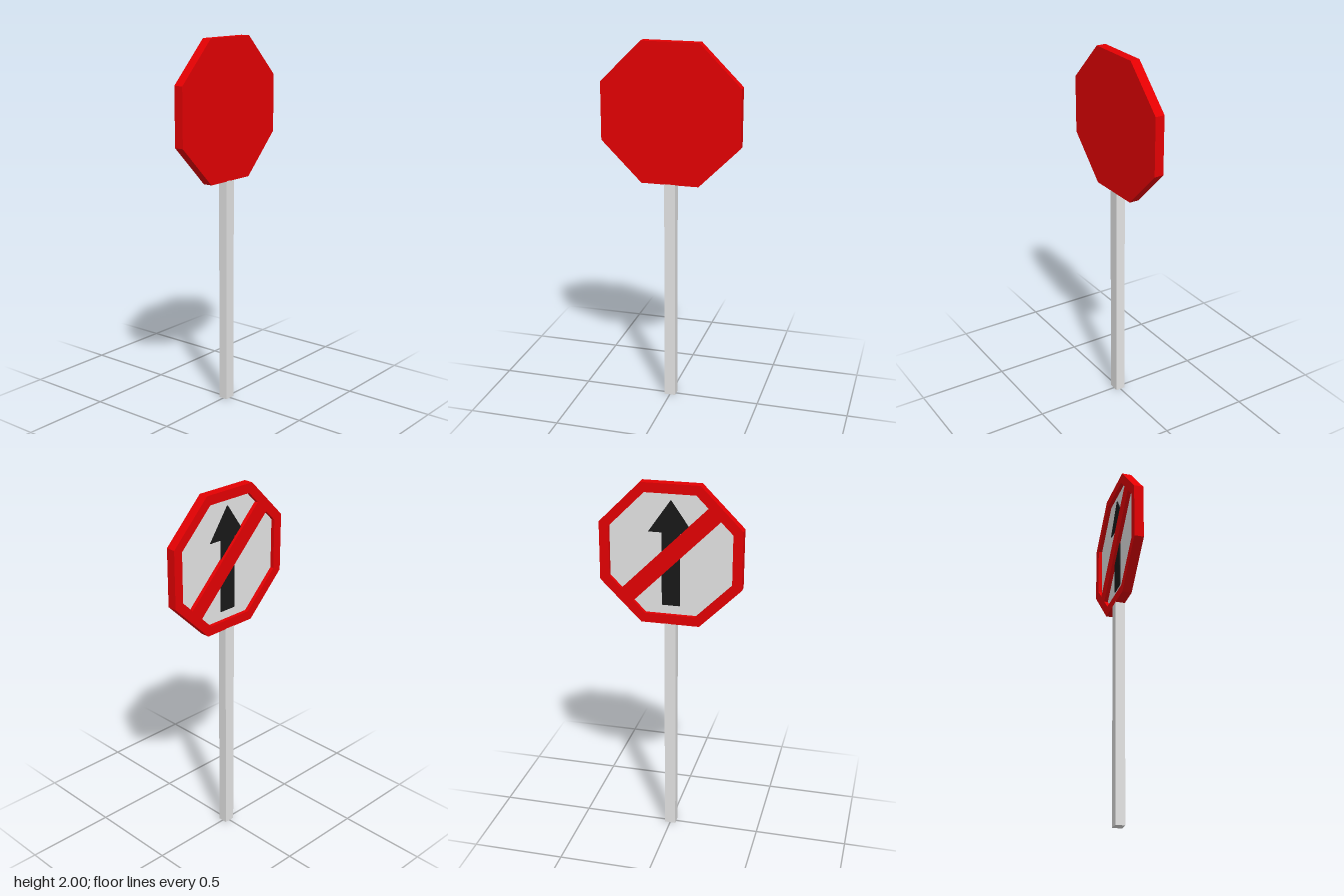
import * as THREE from 'three';

const CENTER_Y = 1.622;   // middle of the sign
const OUTER = 0.378;      // octagon half widths
const INNER = 0.327;
const BACK = -0.026, FLOOR = -0.002, FRONT = 0.026;

// Corners of a flat-topped octagon with the given half width
function octagon(r) {
  const points = [];
  const radius = r / Math.cos(Math.PI / 8);
  for (let i = 0; i < 8; i++) {
    const a = Math.PI / 8 + i * Math.PI / 4;
    points.push(new THREE.Vector2(radius * Math.cos(a), radius * Math.sin(a)));
  }
  return points;
}

// Extrude a shape between two z positions
function slab(name, shape, z0, z1, material) {
  const geometry = new THREE.ExtrudeGeometry(shape, { depth: z1 - z0, bevelEnabled: false });
  const mesh = new THREE.Mesh(geometry, material);
  mesh.name = name;
  mesh.position.z = z0;
  return mesh;
}

export function createModel() {
  const red = new THREE.MeshStandardMaterial({ name: 'signRed', color: 0xe40002 });
  const grey = new THREE.MeshStandardMaterial({ name: 'lightGrey', color: 0xe4e4e4 });
  const black = new THREE.MeshStandardMaterial({ name: 'arrowBlack', color: 0x191919 });

  const model = new THREE.Group();
  model.name = 'roadSign';

  // Square post
  const post = new THREE.Mesh(new THREE.BoxGeometry(0.061, 1.246, 0.052), grey);
  post.name = 'post';
  post.position.y = 0.623;
  model.add(post);

  const sign = new THREE.Group();
  sign.name = 'sign';
  sign.position.y = CENTER_Y;
  model.add(sign);

  // Solid red panel with a raised rim around the recessed side
  sign.add(slab('panel', new THREE.Shape(octagon(OUTER)), FLOOR, FRONT, red));
  const rimShape = new THREE.Shape(octagon(OUTER));
  rimShape.holes.push(new THREE.Path(octagon(INNER)));
  sign.add(slab('rim', rimShape, BACK, FLOOR, red));

  // Grey face lying in the recess
  sign.add(slab('face', new THREE.Shape(octagon(INNER)), FLOOR - 0.003, FLOOR, grey));

  // Upright arrow
  const arrow = new THREE.Shape([
    [-0.048, -0.278], [0.048, -0.278], [0.048, 0.118], [0.12, 0.118],
    [0, 0.29], [-0.12, 0.118], [-0.048, 0.118],
  ].map(([x, y]) => new THREE.Vector2(x, y)));
  sign.add(slab('arrow', arrow, FLOOR - 0.009, FLOOR - 0.003, black));

  // Diagonal bar, flush with the rim
  const bar = new THREE.Mesh(new THREE.BoxGeometry(2 * INNER, 0.09, FLOOR - BACK), red);
  bar.name = 'diagonalBar';
  bar.position.z = (FLOOR + BACK) / 2;
  bar.rotation.z = -Math.PI / 4;
  sign.add(bar);

  return model;
}
